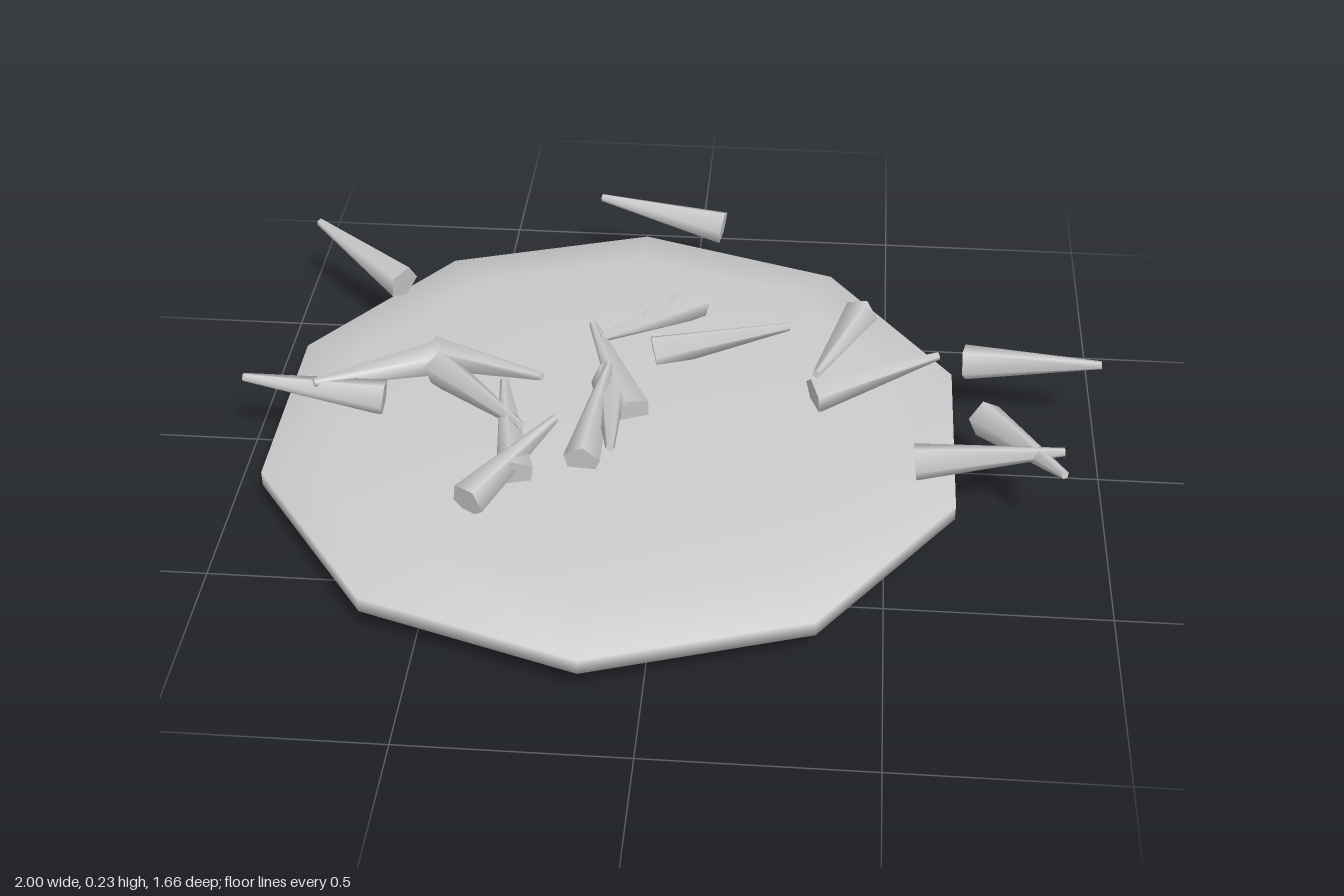
import * as THREE from 'three';

export function createModel() {
  const model = new THREE.Group();
  const grey = new THREE.MeshStandardMaterial({ color: 0xcccccc });
  grey.name = 'grey';

  // Flattened ten-sided disc with a narrow upright rim
  const disc = new THREE.Mesh(new THREE.SphereGeometry(1, 10, 7), grey);
  disc.name = 'disc';
  disc.scale.set(0.851, 0.083, 0.851);
  disc.rotation.y = Math.PI / 2;
  disc.position.set(-0.133, 0.083, 0);
  model.add(disc);

  // Scattered spikes: x and z of the thick end, then x and z of the tip
  const spikes = [
    [0.07, -0.77, -0.25, -0.82],
    [-0.71, -0.44, -0.96, -0.64],
    [0.68, -0.20, 0.995, -0.15],
    [0.72, 0.02, 0.885, 0.28],
    [0.56, 0.20, 0.89, 0.195],
    [0.43, -0.385, 0.33, -0.06],
    [0.325, -0.04, 0.615, -0.16],
    [-0.06, -0.185, 0.26, -0.255],
    [0.03, -0.415, -0.185, -0.17],
    [-0.085, 0.065, -0.21, -0.23],
    [-0.185, 0.26, -0.155, -0.06],
    [-0.155, -0.07, -0.12, 0.26],
    [-0.42, 0.42, -0.255, 0.16],
    [-0.325, 0.32, -0.39, 0.02],
    [-0.585, -0.135, -0.305, 0.0],
    [-0.57, -0.12, -0.83, 0.065],
    [-0.56, -0.08, -0.33, 0.19],
    [-0.67, 0.05, -0.998, 0.055],
  ];
  const up = new THREE.Vector3(0, 1, 0);
  spikes.forEach(([bx, bz, tx, tz], i) => {
    const base = new THREE.Vector3(bx, 0.178, bz);
    const tip = new THREE.Vector3(tx, 0.222, tz);
    const axis = tip.clone().sub(base);
    const spike = new THREE.Mesh(new THREE.CylinderGeometry(0.01, 0.044, axis.length(), 5), grey);
    spike.name = `spike${i + 1}`;
    spike.position.copy(base).lerp(tip, 0.5);
    spike.quaternion.setFromUnitVectors(up, axis.normalize());
    model.add(spike);
  });

  return model;
}
